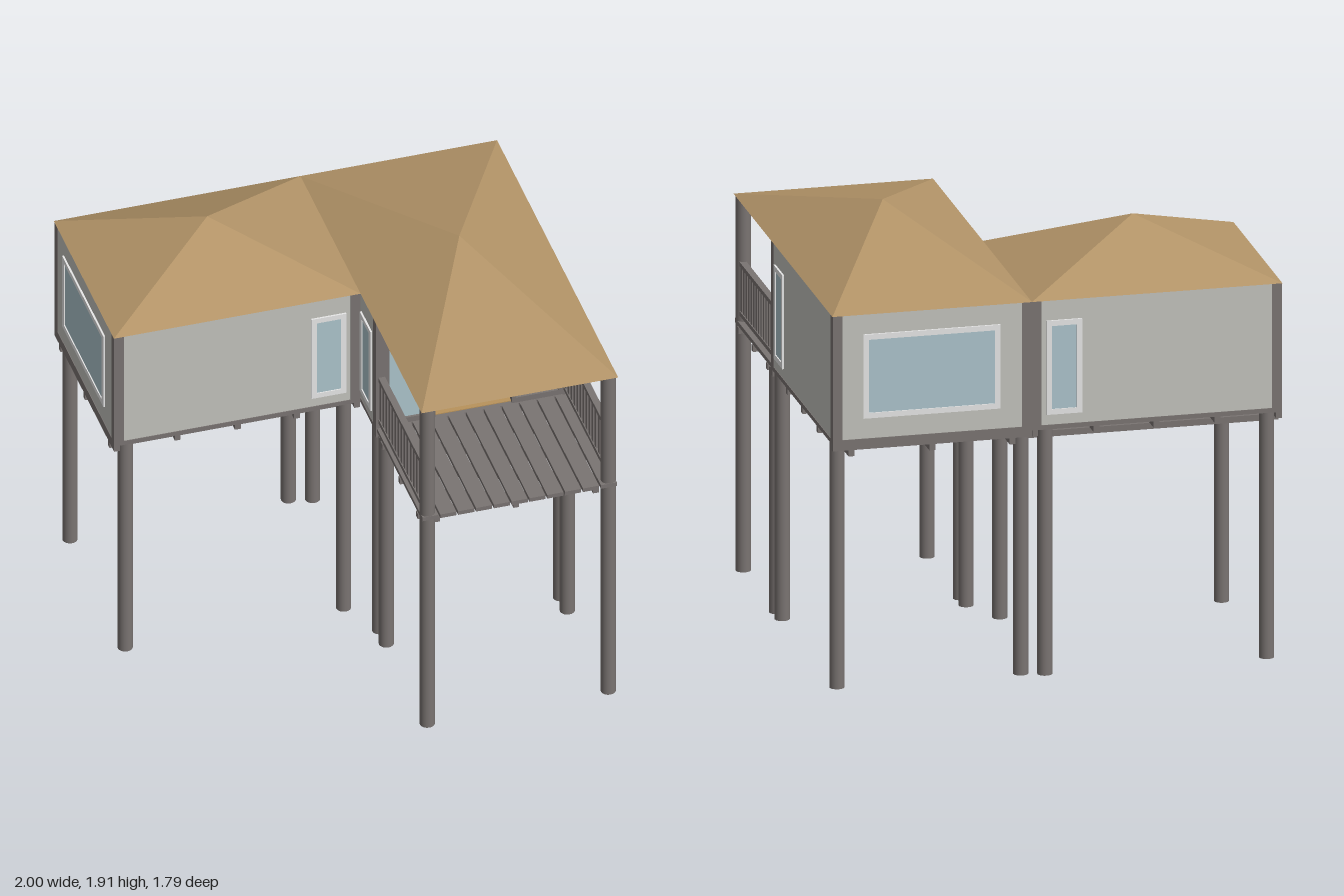
import * as THREE from 'three';

const material = (name, color, side = THREE.FrontSide) => {
  const m = new THREE.MeshStandardMaterial({ color, side });
  m.name = name;
  return m;
};

export function createModel() {
  const model = new THREE.Group();
  model.name = 'stiltHouse';
  const wood = material('grey timber', 0x7a7472);
  const wallPaint = material('wall grey', 0xc2c2bc);
  const thatch = material('roof tan', 0xb39468, THREE.DoubleSide);
  const glass = material('window glass', 0xacc4cc);
  const white = material('frame white', 0xf4f4f4);
  const flooring = material('indoor floor tan', 0xb8935c);

  const group = (name, parent = model) => {
    const g = new THREE.Group();
    g.name = name;
    parent.add(g);
    return g;
  };
  // Box given by its bounds on each axis
  const box = (parent, name, mat, x0, x1, y0, y1, z0, z1) => {
    const mesh = new THREE.Mesh(new THREE.BoxGeometry(x1 - x0, y1 - y0, z1 - z0), mat);
    mesh.position.set((x0 + x1) / 2, (y0 + y1) / 2, (z0 + z1) / 2);
    mesh.name = name;
    parent.add(mesh);
    return mesh;
  };

  const FLOOR = 1.13, EAVE = 1.69;
  const A = { x0: -0.995, x1: 0.11, z0: -0.89, z1: -0.01 };  // side wing
  const B = { x0: 0.11, x1: 0.99, z0: -0.89, z1: 0.22 };     // main wing
  const PORCH = 0.89;

  // Round stilts; the front porch pair continues up to the roof
  const stilts = group('stilts');
  const stilt = (x, z, top = 1.11) => {
    const mesh = new THREE.Mesh(new THREE.CylinderGeometry(0.033, 0.033, top, 16), wood);
    mesh.position.set(x, top / 2, z);
    mesh.name = 'stilt';
    stilts.add(mesh);
  };
  for (const x of [-0.935, 0.045]) for (const z of [-0.045, -0.857]) stilt(x, z);
  for (const x of [0.145, 0.957]) {
    for (const z of [0.255, 0.155, -0.83]) stilt(x, z);
    stilt(x, 0.857, EAVE);
  }

  // Floor frame: lower beams one way, joists the other way
  const frame = group('floorFrame');
  const h = 0.013;
  for (const z of [-0.81, -0.45, -0.09])
    box(frame, 'beam', wood, A.x0, A.x1, 1.055, 1.083, z - h, z + h);
  for (const x of [-0.982, -0.71, -0.44, -0.175, 0.095])
    box(frame, 'joist', wood, x - h, x + h, 1.083, 1.111, A.z0, A.z1);
  for (const x of [0.195, 0.55, 0.907])
    box(frame, 'beam', wood, x - h, x + h, 1.055, 1.083, B.z0, 0.84);
  for (const z of [-0.877, -0.61, -0.335, -0.06, 0.207, 0.3, 0.56, 0.82])
    box(frame, 'joist', wood, B.x0, B.x1, 1.083, 1.111, z - h, z + h);

  // Floors: closed indoors, separate planks on the porch
  const floors = group('floors');
  for (const w of [A, B]) {
    box(floors, 'floorSlab', wood, w.x0, w.x1, 1.11, FLOOR, w.z0, w.z1);
    box(floors, 'indoorFloor', flooring, w.x0 + 0.02, w.x1 - 0.02, FLOOR, FLOOR + 0.004, w.z0 + 0.02, w.z1 - 0.02);
  }
  const planks = 11, pitch = (B.x1 - B.x0) / planks;
  for (let i = 0; i < planks; i++)
    box(floors, 'porchPlank', wood, B.x0 + i * pitch + 0.004, B.x0 + (i + 1) * pitch - 0.004, 1.111, FLOOR, B.z1, PORCH);

  // Walls and square corner posts
  const walls = group('walls');
  const T = 0.02, G = 0.003;
  const wall = (x0, x1, z0, z1) => box(walls, 'wall', wallPaint, x0, x1, FLOOR, EAVE, z0, z1);
  wall(A.x0 + G, A.x0 + T, A.z0 + G, A.z1 - G);
  wall(A.x0 + G, A.x1, A.z1 - T, A.z1 - G);
  wall(A.x0 + G, A.x1, A.z0 + G, A.z0 + T);
  wall(B.x0 + G, B.x0 + T, B.z0 + G, B.z1 - G);
  wall(B.x1 - T, B.x1 - G, B.z0 + G, B.z1 - G);
  wall(B.x0 + G, B.x1 - G, B.z0 + G, B.z0 + T);
  const P = 0.043;
  for (const w of [A, B])
    for (const x of [w.x0, w.x1 - P])
      for (const z of [w.z0, w.z1 - P])
        box(walls, 'cornerPost', wood, x, x + P, 1.11, EAVE, z, z + P);

  // Framed window running through the wall, facing +z before rotation
  const windowUnit = (x, z, turn, w, y0, y1) => {
    const g = group('window');
    const b = 0.024, d = 0.017, r = w / 2;
    for (const s of [-1, 1]) {
      const c = s * (r - b / 2);
      box(g, 'windowFrame', white, c - b / 2, c + b / 2, y0, y1, -d, d);
    }
    for (const y of [y0, y1 - b]) box(g, 'windowFrame', white, -r + b, r - b, y, y + b, -d, d);
    box(g, 'windowGlass', glass, -r + b, r - b, y0 + b, y1 - b, -0.012, 0.012);
    g.position.set(x, 0, z);
    g.rotation.y = turn;
  };
  const Q = Math.PI / 2, I = 0.0115;
  windowUnit(-0.033, A.z1 - I, 0, 0.157, 1.177, 1.6);
  windowUnit(-0.033, A.z0 + I, 0, 0.157, 1.177, 1.6);
  windowUnit(B.x0 + I, 0.075, Q, 0.155, 1.177, 1.6);
  windowUnit(B.x1 - I, 0.075, Q, 0.155, 1.177, 1.6);
  windowUnit(0.552, B.z0 + I, 0, 0.605, 1.222, 1.6);
  windowUnit(A.x0 + I, -0.455, Q, 0.605, 1.222, 1.6);

  // Glazed porch front with an open middle
  const front = group('porchFront');
  box(front, 'header', wood, B.x0 + P, B.x1 - P, 1.665, EAVE, 0.18, 0.22);
  for (const [x0, x1] of [[B.x0 + P, 0.378], [0.722, B.x1 - P]]) {
    const b = 0.018;
    box(front, 'doorGlass', glass, x0, x1, 1.15, 1.665, 0.196, 0.204);
    box(front, 'doorSill', wood, x0, x1, FLOOR, 1.156, 0.185, 0.215);
    for (const x of [x0, x1 - b]) box(front, 'doorStile', wood, x, x + b, FLOOR, 1.667, 0.185, 0.215);
  }

  // Porch railings on both sides
  for (const x of [0.135, 0.965]) {
    const rail = group('railing');
    const t = 0.011, z0 = 0.22, z1 = 0.835;
    box(rail, 'topRail', wood, x - 0.015, x + 0.015, 1.38, 1.4, z0, z1);
    box(rail, 'bottomRail', wood, x - 0.015, x + 0.015, 1.158, 1.178, z0, z1);
    for (let i = 0; i < 14; i++) {
      const z = 0.235 + i * 0.0445;
      box(rail, 'baluster', wood, x - t, x + t, 1.178, 1.38, z - t, z + t);
    }
  }

  // Four-sided roofs with a flat underside
  const roof = (name, x0, x1, z0, z1) => {
    const geo = new THREE.ConeGeometry(Math.SQRT1_2, 0.22, 4, 1).rotateY(Math.PI / 4).toNonIndexed();
    geo.scale(x1 - x0, 1, z1 - z0);
    geo.computeVertexNormals();
    const mesh = new THREE.Mesh(geo, thatch);
    mesh.position.set((x0 + x1) / 2, EAVE + 0.11, (z0 + z1) / 2);
    mesh.name = name;
    model.add(mesh);
  };
  roof('sideRoof', A.x0 - 0.002, A.x1, A.z0 - 0.002, A.z1 + 0.002);
  roof('mainRoof', B.x0, B.x1 + 0.002, B.z0 - 0.002, PORCH);

  return model;
}
